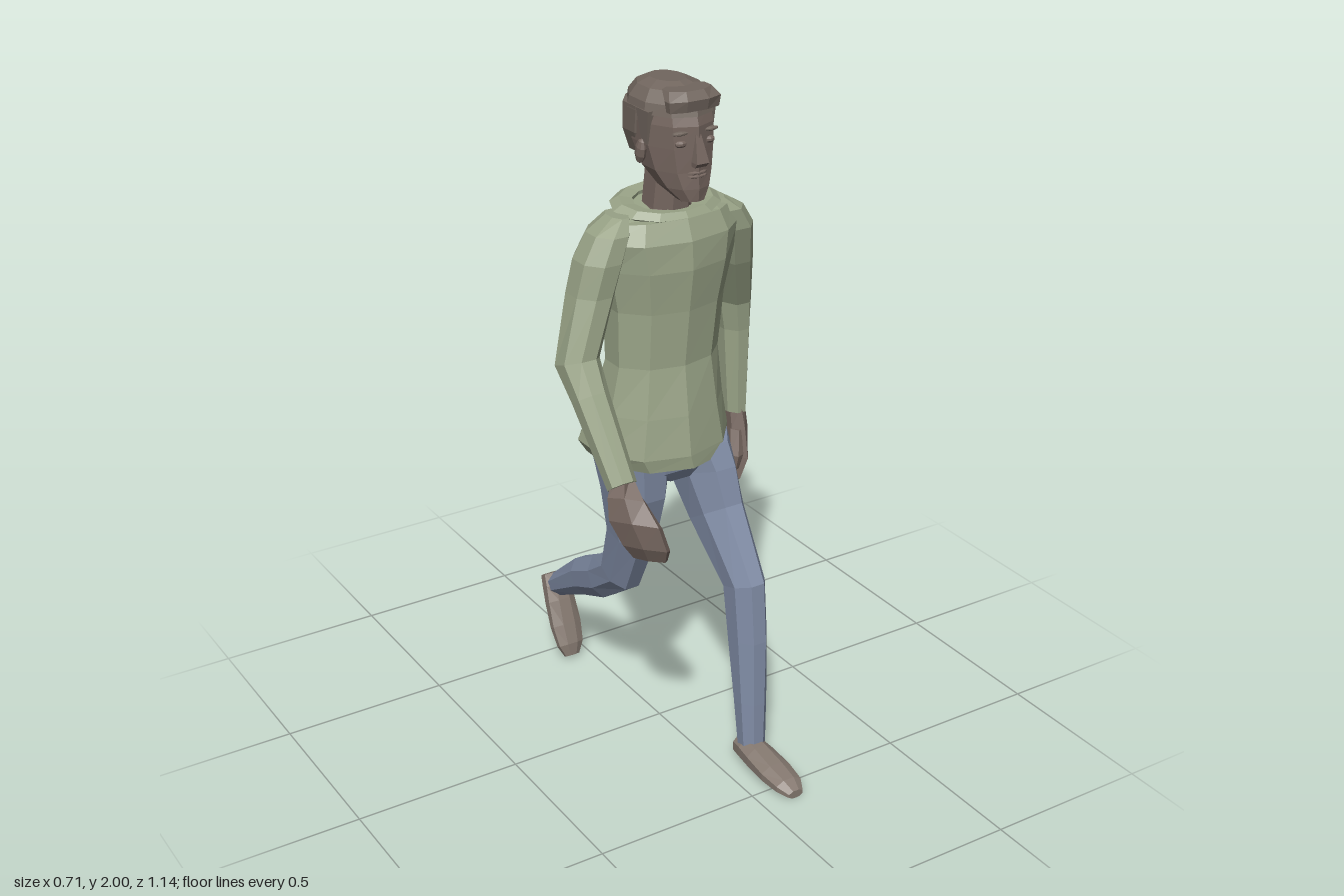
import * as THREE from 'three';

const material = (name, color) => Object.assign(new THREE.MeshStandardMaterial({ color }), { name });
const rad = THREE.MathUtils.degToRad;

// Closed faceted skin through oval rings: [x, y, z, halfWidth, halfDepth, tilt, yaw] (degrees).
function loft(rings, sides = 8) {
  const pts = [], idx = [], n = sides, fit = 1 / Math.cos(Math.PI / n);
  for (const [x, y, z, w, d, tilt = 0, yaw = 0] of rings) {
    const t = rad(tilt), s = rad(yaw);
    const u = [Math.cos(s), 0, Math.sin(s)];
    const v = [-Math.sin(s) * Math.cos(t), Math.sin(t), Math.cos(s) * Math.cos(t)];
    for (let i = 0; i < n; i++) {
      const a = (i + 0.5) / n * Math.PI * 2, p = Math.cos(a) * w * fit, q = Math.sin(a) * d * fit;
      pts.push(x + u[0] * p + v[0] * q, y + v[1] * q, z + u[2] * p + v[2] * q);
    }
  }
  const last = rings.length - 1, c0 = pts.length / 3, c1 = c0 + 1;
  pts.push(...rings[0].slice(0, 3), ...rings[last].slice(0, 3));
  for (let i = 0; i < n; i++) {
    const k = (i + 1) % n;
    for (let j = 0; j < last; j++) {
      const a = j * n + i, b = j * n + k;
      idx.push(a, a + n, b, b, a + n, b + n);
    }
    idx.push(c0, i, k, c1, last * n + k, last * n + i);
  }
  // Turn the faces outward whichever way the rings run
  let volume = 0;
  const P = i => new THREE.Vector3(pts[i * 3], pts[i * 3 + 1], pts[i * 3 + 2]);
  for (let i = 0; i < idx.length; i += 3) volume += P(idx[i]).dot(P(idx[i + 1]).cross(P(idx[i + 2])));
  if (volume < 0) idx.reverse();
  const g = new THREE.BufferGeometry();
  g.setAttribute('position', new THREE.Float32BufferAttribute(pts, 3));
  g.setIndex(idx);
  return facet(g);
}

function facet(g) {
  const flat = g.index ? g.toNonIndexed() : g;
  flat.computeVertexNormals();
  return flat;
}

export function createModel() {
  const model = new THREE.Group();
  model.name = 'walkingMan';
  const skin = material('skin', 0x75665f);
  const hair = material('hair', 0x71665e);
  const shirt = material('shirt', 0x98a286);
  const jeans = material('jeans', 0x808ca5);
  const shoe = material('shoe', 0x857970);

  const add = (name, geometry, mat, parent = model) => {
    const mesh = new THREE.Mesh(geometry, mat);
    mesh.name = name;
    parent.add(mesh);
    return mesh;
  };
  const ball = (name, mat, pos, size) => {
    const mesh = add(name, facet(new THREE.SphereGeometry(1, 8, 5)), mat);
    mesh.position.set(...pos);
    mesh.scale.set(...size);
    return mesh;
  };

  // Sweater body, flared at the hem
  add('sweater', loft([
    [-0.008, 0.925, 0, 0.198, 0.185], [-0.018, 0.965, -0.005, 0.212, 0.19],
    [-0.015, 1.08, 0.012, 0.185, 0.155], [-0.008, 1.22, 0.025, 0.162, 0.115],
    [0.003, 1.38, 0.018, 0.172, 0.125], [0.008, 1.5, 0.015, 0.197, 0.138],
    [0.008, 1.58, 0.015, 0.215, 0.132], [0.01, 1.625, 0.01, 0.19, 0.112, 6],
    [0.012, 1.65, 0.005, 0.13, 0.09, -10]], 10), shirt);
  // Soft collar lying around the neck, lower in front
  const collar = add('collar', facet(new THREE.TorusGeometry(0.105, 0.03, 5, 12)), shirt);
  collar.scale.set(1.22, 0.88, 0.55);
  collar.position.set(0.014, 1.652, 0.008);
  collar.rotation.x = Math.PI / 2 + 0.15;

  // Left sleeve hangs back, right sleeve swings forward
  add('leftSleeve', loft([
    [0.305, 0.93, -0.075, 0.032, 0.045], [0.31, 1.19, -0.095, 0.044, 0.06],
    [0.303, 1.285, -0.095, 0.053, 0.067, -8], [0.252, 1.45, -0.03, 0.062, 0.07, -15],
    [0.225, 1.55, 0, 0.064, 0.075], [0.195, 1.61, 0.01, 0.055, 0.065], [0.165, 1.645, 0.01, 0.025, 0.045]]), shirt);
  add('rightSleeve', loft([
    [-0.3, 0.99, 0.29, 0.038, 0.04, 38], [-0.305, 1.19, 0.14, 0.048, 0.05, 36],
    [-0.3, 1.27, 0.06, 0.055, 0.068, 20], [-0.238, 1.45, 0.03, 0.06, 0.074],
    [-0.212, 1.54, 0.03, 0.062, 0.078], [-0.18, 1.61, 0.03, 0.055, 0.068], [-0.15, 1.65, 0.025, 0.025, 0.045]]), shirt);

  // Hands with curled fingers and thumbs
  add('leftHand', loft([
    [0.264, 0.705, -0.075, 0.018, 0.045], [0.278, 0.735, -0.068, 0.026, 0.065],
    [0.297, 0.8, -0.065, 0.026, 0.072], [0.305, 0.88, -0.07, 0.028, 0.052],
    [0.305, 0.95, -0.075, 0.026, 0.036]], 6), skin);
  add('leftThumb', loft([
    [0.268, 0.765, -0.012, 0.012, 0.014], [0.275, 0.81, -0.01, 0.017, 0.018],
    [0.295, 0.88, -0.04, 0.018, 0.02]], 5), skin);
  add('rightHand', loft([
    [-0.258, 0.79, 0.365, 0.045, 0.016, 12, 50], [-0.272, 0.83, 0.368, 0.062, 0.026, 20, 50],
    [-0.295, 0.9, 0.35, 0.07, 0.03, 28, 50], [-0.302, 0.96, 0.318, 0.05, 0.03, 35, 45],
    [-0.3, 1.01, 0.275, 0.03, 0.03, 38]], 6), skin);
  add('rightThumb', loft([
    [-0.24, 0.85, 0.31, 0.014, 0.014], [-0.25, 0.9, 0.3, 0.018, 0.018],
    [-0.285, 0.96, 0.3, 0.02, 0.02]], 5), skin);

  // Jeans: seat, forward left leg, trailing right leg
  add('jeansSeat', loft([
    [0.0, 0.86, 0.03, 0.09, 0.09], [-0.005, 0.9, 0.015, 0.16, 0.13], [-0.008, 0.97, 0, 0.18, 0.155]]), jeans);
  add('leftTrouserLeg', loft([
    [0.108, 0.05, 0.337, 0.038, 0.037], [0.11, 0.2, 0.322, 0.044, 0.047],
    [0.114, 0.4, 0.295, 0.05, 0.065], [0.115, 0.56, 0.272, 0.052, 0.073, 18],
    [0.112, 0.73, 0.13, 0.068, 0.103, 32], [0.103, 0.85, 0.065, 0.079, 0.13, 18],
    [0.09, 0.96, 0.015, 0.09, 0.145]]), jeans);
  add('rightTrouserLeg', loft([
    [-0.06, 0.225, -0.515, 0.036, 0.034, -56], [-0.075, 0.36, -0.31, 0.045, 0.058, -60],
    [-0.085, 0.425, -0.18, 0.05, 0.064, -60], [-0.092, 0.505, -0.065, 0.055, 0.07, -30],
    [-0.096, 0.67, 0.005, 0.066, 0.083, -12], [-0.1, 0.82, 0.02, 0.082, 0.115],
    [-0.102, 0.96, 0, 0.096, 0.145]]), jeans);

  // Shoes share one form: heel at the origin, toe toward +z
  const shoeForm = loft([
    [0, 0.033, 0, 0.034, 0.033, 90], [0, 0.037, 0.04, 0.041, 0.037, 90],
    [0, 0.034, 0.09, 0.046, 0.034, 90], [0, 0.027, 0.17, 0.049, 0.027, 90],
    [0, 0.021, 0.235, 0.042, 0.021, 90], [0, 0.012, 0.272, 0.024, 0.012, 90]]);
  add('leftShoe', shoeForm, shoe).position.set(0.102, 0, 0.3);
  const rearShoe = add('rightShoe', shoeForm, shoe);
  rearShoe.position.set(-0.064, 0.238, -0.57);
  rearShoe.rotation.set(rad(60), 0, 0);

  // Neck and head
  const cx = 0.018;
  add('neck', loft([
    [0.01, 1.58, 0.03, 0.075, 0.075], [0.014, 1.65, 0.012, 0.06, 0.072], [cx, 1.78, 0.02, 0.055, 0.072]]), skin);
  add('head', loft([
    [cx, 1.695, 0.128, 0.036, 0.036], [cx, 1.73, 0.09, 0.066, 0.075],
    [cx, 1.775, 0.055, 0.087, 0.106], [cx, 1.84, 0.032, 0.099, 0.128],
    [cx, 1.9, 0.025, 0.102, 0.133], [cx, 1.95, 0.02, 0.097, 0.122], [cx, 1.98, 0.015, 0.07, 0.09]], 10), skin);

  // Hair: cropped back, crown and swept-up fringe
  add('backHair', loft([
    [cx, 1.8, -0.025, 0.084, 0.068], [cx, 1.86, -0.018, 0.104, 0.092], [cx, 1.935, -0.01, 0.106, 0.1]], 10), hair);
  add('crownHair', loft([
    [cx, 1.925, 0.022, 0.106, 0.132], [cx, 1.955, 0.02, 0.1, 0.126],
    [cx, 1.985, 0.015, 0.077, 0.097], [cx, 2.0, 0.01, 0.044, 0.058]], 10), hair);
  add('fringe', loft([
    [cx, 1.94, 0.135, 0.076, 0.022], [cx, 1.97, 0.135, 0.08, 0.028], [cx, 1.992, 0.105, 0.066, 0.04]]), hair);

  // Face
  add('nose', loft([
    [cx, 1.792, 0.16, 0.018, 0.014], [cx, 1.805, 0.166, 0.019, 0.021], [cx, 1.88, 0.152, 0.008, 0.01]], 4), skin);
  for (const y of [1.764, 1.774]) ball('lip', skin, [cx, y, 0.157], [0.032, 0.006, 0.012]);
  for (const [side, s] of [['left', 1], ['right', -1]]) {
    ball(side + 'Eye', skin, [cx + s * 0.044, 1.855, 0.146], [0.018, 0.01, 0.012]);
    ball(side + 'Brow', hair, [cx + s * 0.046, 1.884, 0.147], [0.027, 0.006, 0.012]);
    const ear = ball(side + 'Ear', skin, [cx + s * 0.105, 1.82, 0.045], [0.014, 0.036, 0.02]);
    ear.rotation.x = 0.2;
    add(side + 'Sideburn', loft([
      [cx + s * 0.094, 1.845, 0.06, 0.009, 0.014], [cx + s * 0.098, 1.935, 0.055, 0.009, 0.03]], 4), hair);
  }
  return model;
}
